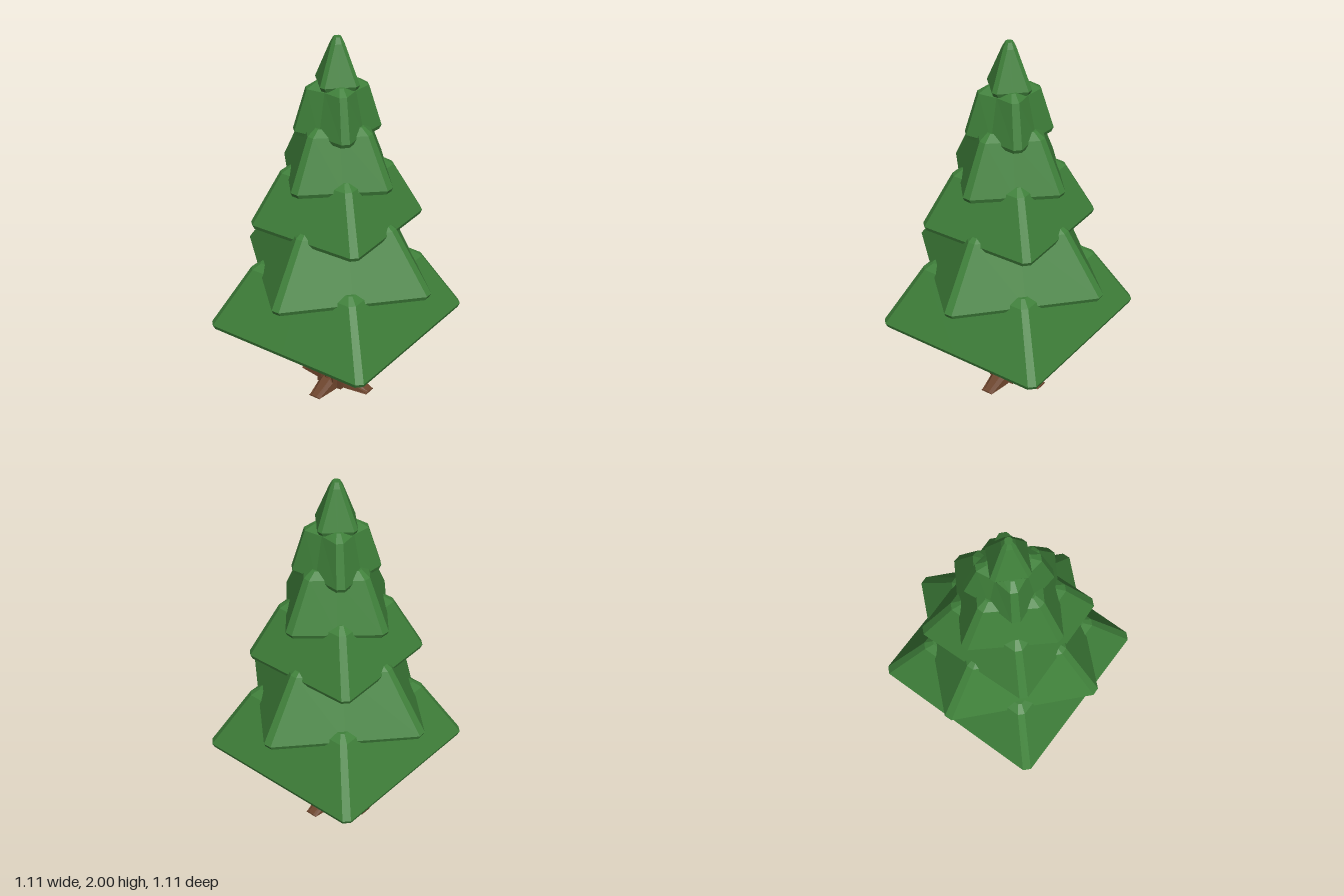
import * as THREE from 'three';

const green = new THREE.MeshStandardMaterial({ color: 0x3f803a, flatShading: true });
const brown = new THREE.MeshStandardMaterial({ color: 0x6b432b, flatShading: true });

// Faceted solid through a stack of closed rings, capped at both ends
function loft(rings) {
  const pos = [];
  const tri = (...pts) => pts.forEach((p) => pos.push(p.x, p.y, p.z));
  const n = rings[0].length;
  const middle = (ring) => ring.reduce((s, p) => s.add(p), new THREE.Vector3()).divideScalar(n);
  const top = rings[rings.length - 1];
  const low = middle(rings[0]), high = middle(top);
  for (let i = 0; i < n; i++) {
    const j = (i + 1) % n;
    for (let k = 0; k + 1 < rings.length; k++) {
      const a = rings[k], b = rings[k + 1];
      tri(a[i], b[i], b[j]);
      tri(a[i], b[j], a[j]);
    }
    tri(low, rings[0][i], rings[0][j]);
    tri(high, top[j], top[i]);
  }
  const geometry = new THREE.BufferGeometry();
  geometry.setAttribute('position', new THREE.Float32BufferAttribute(pos, 3));
  geometry.computeVertexNormals();
  return geometry;
}

// Square ring with cut corners; bow pulls the middle of each side inwards
function squareRing(half, cut, y, bow = 0) {
  const ring = [];
  const up = new THREE.Vector3(0, 1, 0);
  for (let i = 0; i < 4; i++) {
    for (const [x, z] of [[half, cut - half], [half - bow, 0], [half, half - cut]]) {
      ring.push(new THREE.Vector3(x, y, z).applyAxisAngle(up, -i * Math.PI / 2));
    }
  }
  return ring;
}

// One layer of branches: thin rim, sloping sides with bevelled ridges, bevelled top
function branchTier({ y, top, half, topHalf, cut, bow = 0, turn }) {
  const bevel = Math.min(0.04, topHalf * 0.45);
  const mesh = new THREE.Mesh(loft([
    squareRing(half - 0.008, cut, y, bow),
    squareRing(half, cut, y + 0.022, bow),
    squareRing(topHalf, cut * 0.85, top - 0.03, bow),
    squareRing(topHalf - bevel, cut * 0.45, top, bow * 0.5),
  ]), green);
  mesh.rotation.y = turn;
  return mesh;
}

// Root lying along +z: bevelled cross-section shrinking to a blunt tip
function rootGeometry() {
  const section = (w, h, z) => [
    [w, 0], [-w, 0], [-w * 0.85, h * 0.65], [-w * 0.45, h], [w * 0.45, h], [w * 0.85, h * 0.65],
  ].map(([x, v]) => new THREE.Vector3(x, z, -v));
  return loft([section(0.055, 0.07, 0.05), section(0.05, 0.062, 0.105), section(0.034, 0.008, 0.215)])
    .rotateX(Math.PI / 2);
}

export function createModel() {
  const tree = new THREE.Group();
  tree.name = 'pineTree';

  // Ribbed trunk
  const barkRing = (y) => Array.from({ length: 32 }, (_, i) => {
    const a = i / 32 * Math.PI * 2;
    const r = i % 2 ? 0.094 : 0.107 + 0.003 * Math.sin(i * 2.3);
    return new THREE.Vector3(r * Math.cos(a), y, r * Math.sin(a));
  });
  const trunk = new THREE.Mesh(loft([barkRing(0), barkRing(0.45)]), brown);
  trunk.name = 'trunk';
  tree.add(trunk);

  // Four roots
  const root = rootGeometry();
  for (let i = 0; i < 4; i++) {
    const mesh = new THREE.Mesh(root, brown);
    mesh.name = `root${i + 1}`;
    mesh.rotation.y = i * Math.PI / 2;
    tree.add(mesh);
  }

  // Branch layers, alternately square-on and diagonal with a slight twist
  const diagonal = Math.PI / 4;
  [
    { y: 0.41, top: 0.78, half: 0.487, topHalf: 0.33, cut: 0.03, turn: 0 },
    { y: 0.71, top: 1.07, half: 0.408, topHalf: 0.255, cut: 0.03, turn: diagonal + 0.035 },
    { y: 1.0, top: 1.33, half: 0.328, topHalf: 0.215, cut: 0.03, turn: 0.025 },
    { y: 1.26, top: 1.57, half: 0.252, topHalf: 0.16, cut: 0.03, turn: diagonal - 0.06 },
    { y: 1.505, top: 1.775, half: 0.17, topHalf: 0.122, cut: 0.03, bow: 0.012, turn: 0.02 },
    { y: 1.75, top: 2, half: 0.098, topHalf: 0.033, cut: 0.02, turn: diagonal },
  ].forEach((tier, i) => {
    const mesh = branchTier(tier);
    mesh.name = `branchTier${i + 1}`;
    tree.add(mesh);
  });

  return tree;
}
